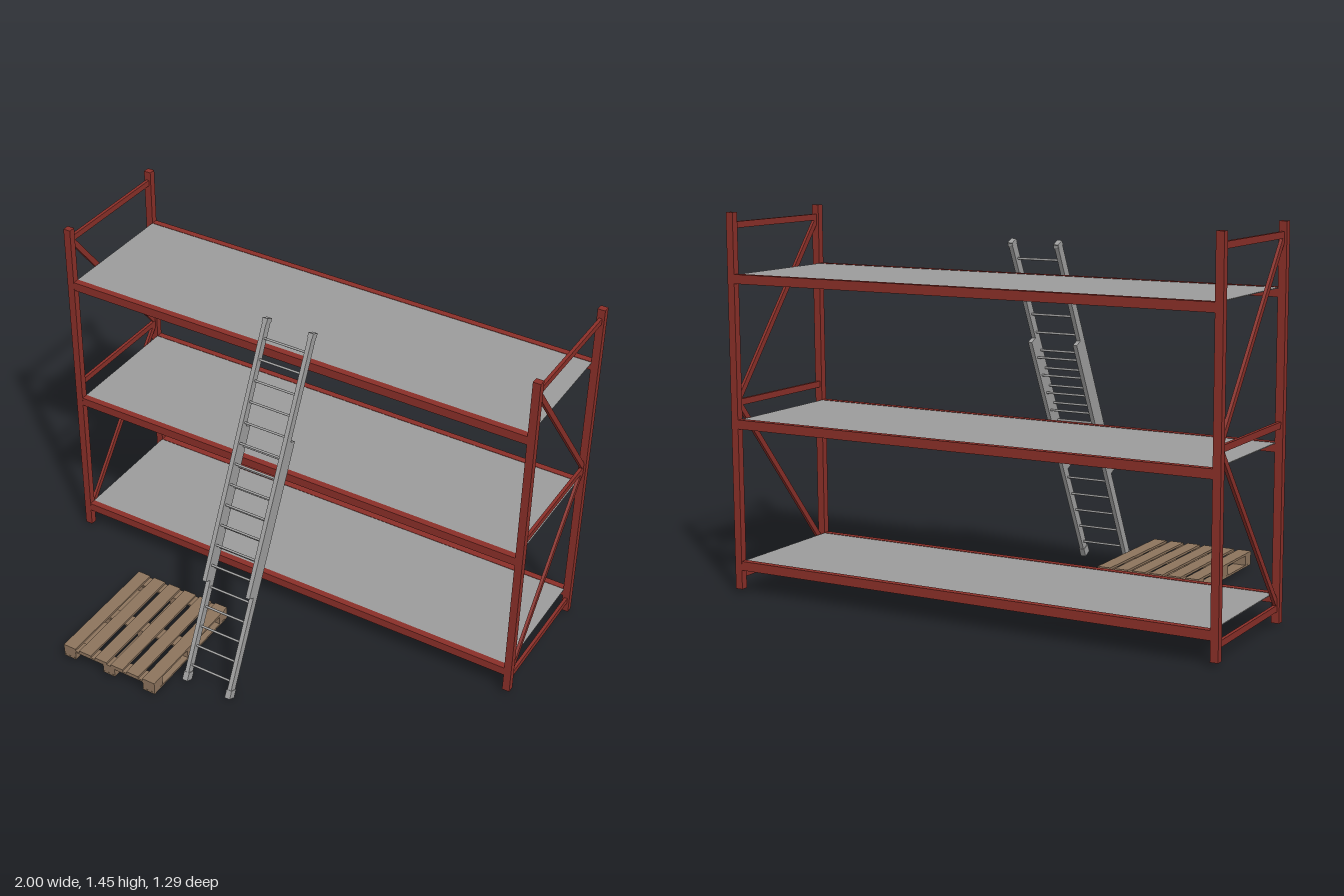
import * as THREE from 'three';

const mat = (name, color) => {
  const m = new THREE.MeshStandardMaterial({ color });
  m.name = name;
  return m;
};

export function createModel() {
  const red = mat('red painted steel', 0x8a2f28);
  const grey = mat('shelf grey', 0x9b9b9b);
  const metal = mat('ladder metal', 0x9f9f9f);
  const wood = mat('pallet wood', 0x8d745d);
  const model = new THREE.Group();
  model.name = 'storageRack';

  const group = (name, parent = model) => {
    const g = new THREE.Group();
    g.name = name;
    parent.add(g);
    return g;
  };
  const add = (parent, name, material, geometry, pos) => {
    const mesh = new THREE.Mesh(geometry, material);
    mesh.name = name;
    mesh.position.set(...pos);
    parent.add(mesh);
    return mesh;
  };
  const box = (parent, name, material, size, pos) =>
    add(parent, name, material, new THREE.BoxGeometry(...size), pos);

  const zFront = -0.09, zBack = -0.631, zMid = (zFront + zBack) / 2;
  const span = zFront - zBack;

  // End frames: two posts, three rails and a zigzag brace on each side
  for (const side of [-1, 1]) {
    const frame = group(side > 0 ? 'leftFrame' : 'rightFrame');
    const x = side * 0.985;
    for (const z of [zFront, zBack]) box(frame, 'post', red, [0.03, 1.433, 0.028], [x, 0.7285, z]);
    for (const y of [0.067, 0.73, 1.397]) box(frame, 'sideRail', red, [0.013, 0.024, span - 0.026], [x, y, zMid]);
    const braces = [[-0.1, 1.39, -0.62, 0.74], [-0.62, 0.73, -0.1, 0.08]];
    for (const [z1, y1, z2, y2] of braces) {
      const brace = box(frame, 'diagonalBrace', red,
        [0.012, 0.022, Math.hypot(z2 - z1, y2 - y1)], [x, (y1 + y2) / 2, (z1 + z2) / 2]);
      brace.rotation.x = -Math.atan2(y2 - y1, z2 - z1);
    }
  }

  // Shelves: long beams, cross supports and a thin deck
  for (const y of [0.104, 0.65, 1.198]) {
    const shelf = group('shelf');
    for (const z of [zFront, zBack]) box(shelf, 'beam', red, [1.944, 0.035, 0.027], [0, y, z]);
    for (let i = -2; i <= 2; i++) {
      box(shelf, 'crossSupport', red, [0.018, 0.012, span - 0.026], [i * 0.39, y + 0.007, zMid]);
    }
    box(shelf, 'deck', grey, [1.944, 0.003, span - 0.027], [0, y + 0.0145, zMid]);
  }

  // Leaning extension ladder: the upper section slides in front of the lower one
  const ladder = group('ladder');
  ladder.position.set(0, 0.008, 0.505);
  ladder.rotation.x = -0.446;
  const rung = new THREE.CylinderGeometry(0.0045, 0.0045, 0.18, 12).rotateZ(Math.PI / 2);
  const roller = new THREE.CylinderGeometry(0.007, 0.007, 0.019, 12).rotateZ(Math.PI / 2);
  const addSection = (name, y0, z, firstRung) => {
    const section = group(name, ladder);
    section.position.set(0, y0, z);
    const length = 1.038;
    for (const x of [-0.097, 0.097]) box(section, 'rail', metal, [0.017, length, 0.033], [x, length / 2, 0]);
    for (let i = 0; i < 12; i++) add(section, 'rung', metal, rung, [0, firstRung + i * 0.0815, 0]);
    return section;
  };
  const lower = addSection('lowerSection', 0, 0, 0.063);
  const upper = addSection('upperSection', 0.418, 0.032, 0.066);
  for (const x of [-0.097, 0.097]) {
    box(lower, 'foot', metal, [0.023, 0.035, 0.036], [x, 0.016, 0]);
    box(upper, 'topCap', metal, [0.021, 0.018, 0.034], [x, 1.03, 0]);
    add(upper, 'roller', metal, roller, [x, 1.027, -0.014]);
  }

  // Wooden pallet
  const pallet = group('pallet');
  pallet.position.set(-0.367, -0.003, 0.387);
  const length = 0.515, width = 0.427;
  for (let i = 0; i < 6; i++) {
    box(pallet, 'topBoard', wood, [0.055, 0.009, length], [(i - 2.5) * 0.0744, 0.0655, 0]);
  }
  for (const i of [-1, 0, 1]) {
    box(pallet, 'crossBoard', wood, [width, 0.008, 0.055], [0, 0.057, i * 0.23]);
    box(pallet, 'bottomRunner', wood, [0.055, 0.008, length], [i * 0.186, 0.019, 0]);
    for (const j of [-1, 0, 1]) {
      box(pallet, 'block', wood, [0.054, 0.03, 0.054], [i * 0.186, 0.038, j * 0.23]);
    }
  }
  return model;
}
